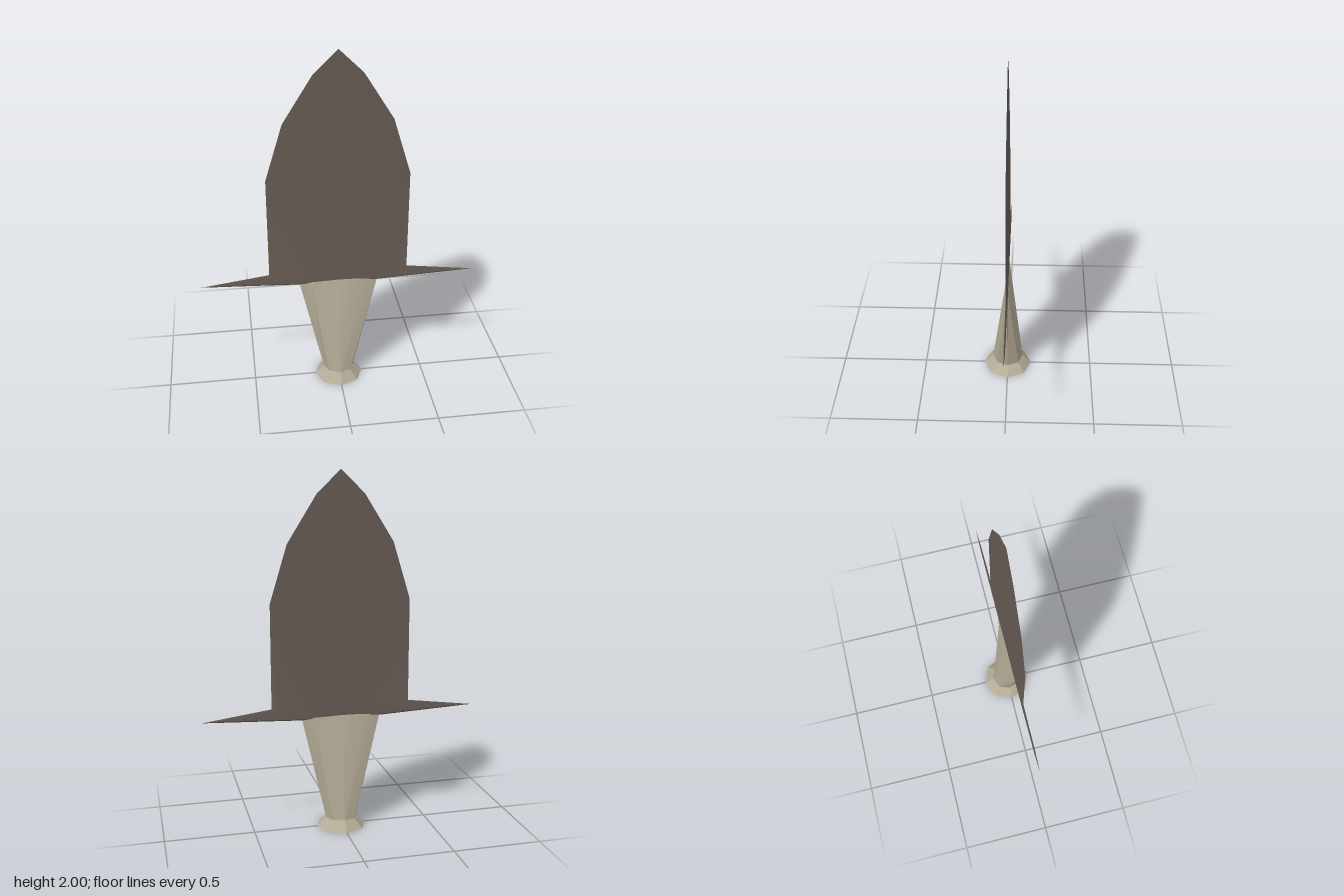
import * as THREE from 'three';
import { toCreasedNormals } from 'three/addons/utils/BufferGeometryUtils.js';

const bladeMat = new THREE.MeshStandardMaterial({ name: 'dark steel', color: 0x675c55 });
const gripMat = new THREE.MeshStandardMaterial({ name: 'pale bone', color: 0xb5ab97 });

// Closed solid through eight-sided rings [y, radius x, radius z]
function loft(rings) {
  const n = 8, pos = [], index = [];
  for (const [y, rx, rz] of rings) {
    for (let i = 0; i < n; i++) {
      const a = (i / n) * Math.PI * 2;
      pos.push(Math.sin(a) * rx, y, Math.cos(a) * rz);
    }
  }
  for (let r = 0; r < rings.length - 1; r++) {
    for (let i = 0; i < n; i++) {
      const a = r * n + i, b = r * n + (i + 1) % n;
      index.push(a, b, b + n, a, b + n, a + n);
    }
  }
  const top = (rings.length - 1) * n;
  for (let i = 1; i < n - 1; i++) {
    index.push(0, i + 1, i, top, top + i, top + i + 1);
  }
  const g = new THREE.BufferGeometry();
  g.setAttribute('position', new THREE.Float32BufferAttribute(pos, 3));
  g.setIndex(index);
  return toCreasedNormals(g, 0.55);
}

// One face of the blade: flat middle, bevelled to a knife edge at the outline
function bladeFace(outline, side) {
  const cy = 0.67, depth = 0.004 * side, n = outline.length;
  const pos = [0, cy, depth], index = [];
  for (const [x, y] of outline) {
    pos.push(x * 0.85, cy + (y - cy) * 0.85, depth, x, y, 0);
  }
  for (let i = 0; i < n; i++) {
    const a = 1 + i * 2, b = 1 + ((i + 1) % n) * 2;
    for (const t of [[0, a, b], [a, a + 1, b + 1], [a, b + 1, b]]) {
      index.push(...(side > 0 ? t : t.reverse()));
    }
  }
  const g = new THREE.BufferGeometry();
  g.setAttribute('position', new THREE.Float32BufferAttribute(pos, 3));
  g.setIndex(index);
  return toCreasedNormals(g, 0.5);
}

export function createModel() {
  const group = new THREE.Group();
  group.name = 'dagger';
  const add = (name, geometry, material) => {
    const mesh = new THREE.Mesh(geometry, material);
    mesh.name = name;
    group.add(mesh);
  };

  // Pommel foot and the grip flattening into the blade
  add('pommel', loft([[0, 0.14, 0.14], [0.055, 0.085, 0.09]]), gripMat);
  add('grip', loft([[0.05, 0.088, 0.09], [0.64, 0.222, 0.008], [0.655, 0.222, 0.003]]), gripMat);

  // Right half of the blade and guard, bottom to tip, then mirrored
  const half = [[0.2, 0.635], [0.775, 0.661], [0.392, 0.712], [0.392, 1.295],
    [0.295, 1.612], [0.132, 1.872]];
  const outline = [...half, [0, 2], ...half.map(([x, y]) => [-x, y]).reverse()];
  add('bladeFront', bladeFace(outline, 1), bladeMat);
  add('bladeBack', bladeFace(outline, -1), bladeMat);

  return group;
}
